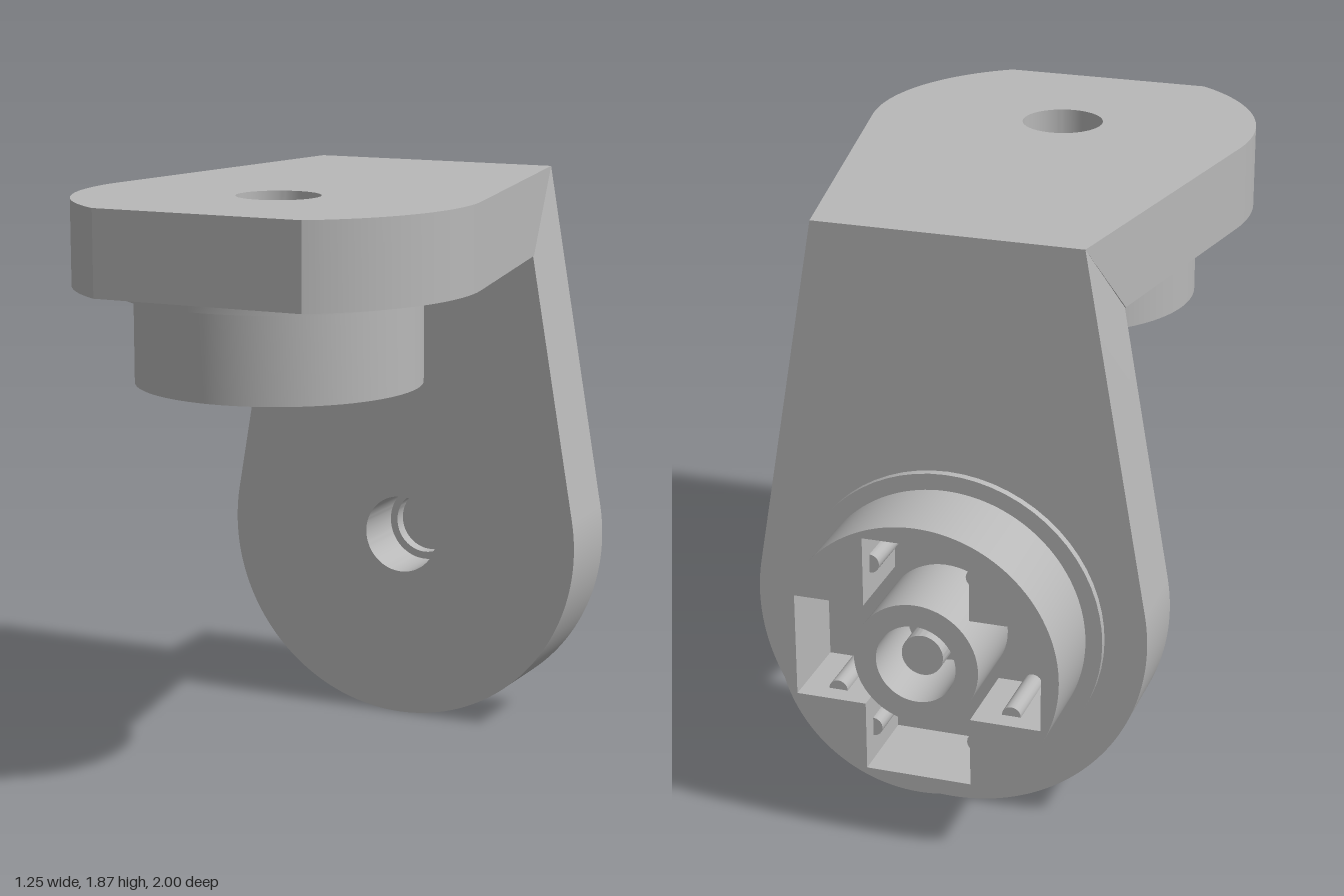
import * as THREE from 'three';
import { toCreasedNormals } from 'three/addons/utils/BufferGeometryUtils.js';

const R = 0.625;        // rounded end of each plate
const T = 0.265;        // plate thickness
const END = 0.42;       // half width at the mitred corner
const SEG = 64;

const grey = new THREE.MeshStandardMaterial({ color: 0xb8b8b8 });
grey.name = 'grey plastic';

function part(name, geometry) {
  const mesh = new THREE.Mesh(toCreasedNormals(geometry, 0.5), grey);
  mesh.name = name;
  return mesh;
}

function circle(radius) {
  return new THREE.Path().absarc(0, 0, radius, 0, Math.PI * 2, true);
}

// Lathe about local z
function lathe(points) {
  const profile = points.map(([x, y]) => new THREE.Vector2(x, y));
  return new THREE.LatheGeometry(profile, SEG).rotateX(Math.PI / 2);
}

// Tapered plate with a round end; one face is shortened for the 45 degree mitre
function plateGeometry(length, cutAngle, shortFace) {
  const t = Math.atan2(length, END) - Math.acos(R / Math.hypot(END, length));
  const shape = new THREE.Shape();
  shape.moveTo(END, length);
  shape.lineTo(-END, length);
  shape.absarc(0, 0, R, Math.PI - t, Math.PI + cutAngle, false);
  shape.absarc(0, 0, R, Math.PI * 2 - cutAngle, Math.PI * 2 + t, false);
  shape.closePath();
  shape.holes.push(circle(0.13));
  const geo = new THREE.ExtrudeGeometry(shape, { depth: T, bevelEnabled: false, curveSegments: 40 });
  geo.translate(0, 0, -T);
  const p = geo.attributes.position;
  const widen = T * Math.tan(t);
  for (let i = 0; i < p.count; i++) {
    if (p.getY(i) > length - 1e-4 && Math.abs(p.getZ(i) - shortFace) < 1e-4) {
      p.setX(i, p.getX(i) + Math.sign(p.getX(i)) * widen);
      p.setY(i, length - T);
    }
  }
  return geo;
}

// Drum with a cross-shaped pocket
function drumGeometry() {
  const w = 0.165, a = 0.385;
  const shape = new THREE.Shape().absarc(0, 0, 0.44, 0, Math.PI * 2, false);
  const cross = [[a, -w], [a, w], [w, w], [w, a], [-w, a], [-w, w],
    [-a, w], [-a, -w], [-w, -w], [-w, -a], [w, -a], [w, -w]];
  shape.holes.push(new THREE.Path(cross.map(([x, y]) => new THREE.Vector2(x, y))));
  const geo = new THREE.ExtrudeGeometry(shape, { depth: 0.28, bevelEnabled: false, curveSegments: SEG });
  return geo.translate(0, 0, 0.02);
}

// Socket standing on the plate, pointing along +z
function createSocket() {
  const socket = new THREE.Group();
  socket.name = 'socket';
  const flange = new THREE.CylinderGeometry(0.4925, 0.4925, 0.025, SEG);
  socket.add(part('flange', flange.rotateX(Math.PI / 2).translate(0, 0, 0.0125)));
  socket.add(part('drum', drumGeometry()));
  socket.add(part('hub', lathe([[0.195, 0], [0.195, 0.31], [0.125, 0.31], [0.125, 0.03],
    [0.065, 0.03], [0.065, 0.25], [0, 0.25]])));

  // Grip ribs on both walls of each pocket arm
  for (let i = 0; i < 4; i++) {
    for (const side of [-1, 1]) {
      const rib = new THREE.CylinderGeometry(0.03, 0.03, 0.215, 16);
      rib.rotateX(Math.PI / 2).translate(0.275, side * 0.165, 0.1325);
      rib.rotateZ(i * Math.PI / 2);
      socket.add(part('gripRib', rib));
    }
  }
  return socket;
}

function createArm(name, length, cutAngle, shortFace) {
  const arm = new THREE.Group();
  arm.name = name;
  arm.add(part('plate', plateGeometry(length, cutAngle, shortFace)));
  // Stepped floor of the blind hole
  arm.add(part('holeFloor', lathe([[0, -0.02], [0.105, -0.02], [0.105, -0.065], [0.13, -0.065]])));
  arm.add(createSocket());
  return arm;
}

export function createModel() {
  const model = new THREE.Group();
  model.name = 'angleBracket';

  // Upright arm, socket at the back
  const upright = createArm('uprightArm', 1.24, Math.PI / 2, -T);
  upright.position.set(0, 0.625, -0.69);
  upright.rotation.y = Math.PI;

  // Level arm, socket underneath, tip cut flat
  const level = createArm('levelArm', 1.165, Math.asin(0.525 / R), 0);
  level.position.set(0, 1.6, 0.475);
  level.rotation.set(Math.PI / 2, Math.PI, 0, 'YXZ');

  model.add(upright, level);
  return model;
}
